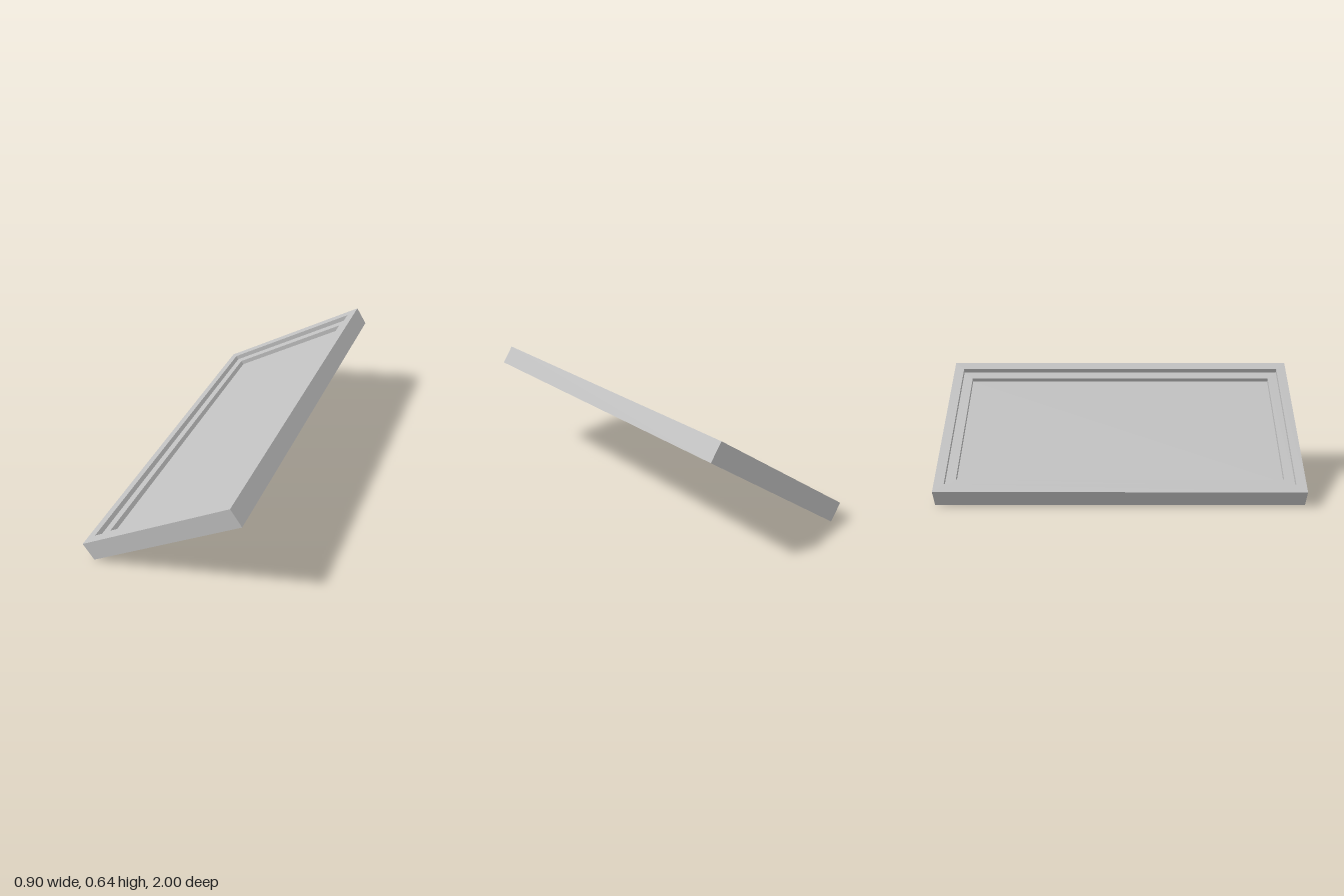
import * as THREE from 'three';

const LENGTH = 1.006, WIDTH = 2, BORDER = 0.055;

function rectangle(path, w, h) {
  path.moveTo(-w / 2, -h / 2);
  path.lineTo(w / 2, -h / 2);
  path.lineTo(w / 2, h / 2);
  path.lineTo(-w / 2, h / 2);
  path.closePath();
  return path;
}

// Rectangular ring lying flat, centred on its own thickness
function ring(inset, thickness) {
  const w = LENGTH - 2 * inset, h = WIDTH - 2 * inset;
  const shape = rectangle(new THREE.Shape(), w, h);
  shape.holes.push(rectangle(new THREE.Path(), w - 2 * BORDER, h - 2 * BORDER));
  return new THREE.ExtrudeGeometry(shape, { depth: thickness, bevelEnabled: false })
    .translate(0, 0, -thickness / 2)
    .rotateX(-Math.PI / 2);
}

export function createModel() {
  const grey = new THREE.MeshStandardMaterial({ color: 0xc0c0c0 });
  grey.name = 'light grey';

  const model = new THREE.Group();
  model.name = 'slopedPanel';
  const add = (name, geometry) => {
    const mesh = new THREE.Mesh(geometry, grey);
    mesh.name = name;
    model.add(mesh);
  };

  // Thick outer frame, thinner ledge inside it, thin panel in the middle
  add('outerFrame', ring(0, 0.11));
  add('innerLedge', ring(BORDER, 0.058));
  add('centrePanel', new THREE.BoxGeometry(LENGTH - 4 * BORDER, 0.006, WIDTH - 4 * BORDER));

  // Slope the whole panel up towards +x, resting on its lower edge
  model.rotation.z = THREE.MathUtils.degToRad(33.1);
  model.position.y = 0.321;

  const root = new THREE.Group();
  root.name = 'model';
  root.add(model);
  return root;
}
